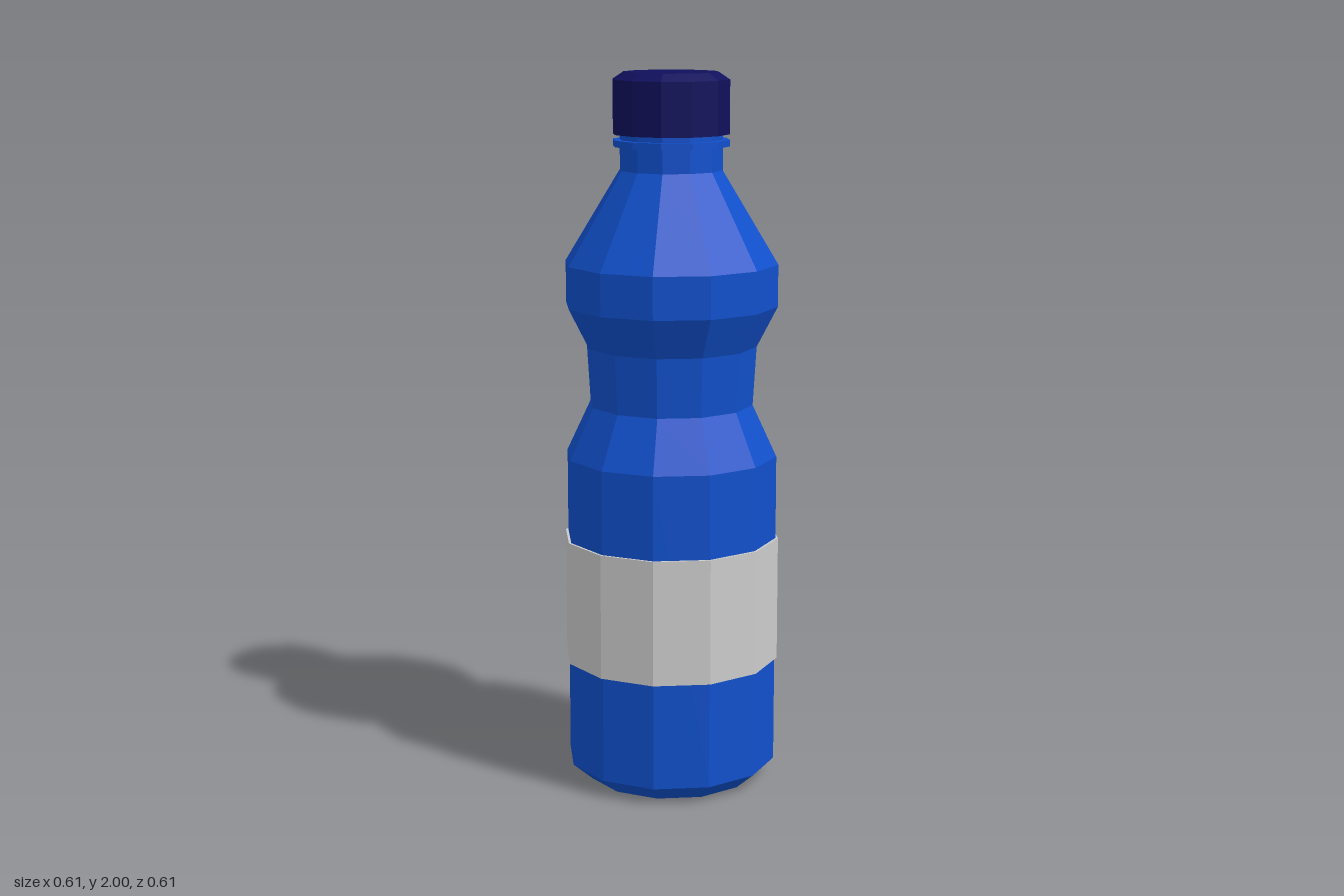
import * as THREE from 'three';

const SIDES = 12;

// Revolve [radius, height] points, listed from bottom to top along the outside
function lathe(name, points, color) {
  const profile = points.map(([r, y]) => new THREE.Vector2(r, y));
  const material = new THREE.MeshStandardMaterial({ color, flatShading: true });
  const mesh = new THREE.Mesh(new THREE.LatheGeometry(profile, SIDES), material);
  mesh.name = name;
  return mesh;
}

export function createModel() {
  const bottle = new THREE.Group();
  bottle.name = 'bottle';
  const blue = 0x1150cc;

  // Body with bevelled base, pinched grip, sloping shoulder and neck
  bottle.add(lathe('body', [
    [0, 0], [0.24, 0], [0.298, 0.05], [0.298, 0.94],
    [0.23, 1.085], [0.24, 1.25], [0.298, 1.363], [0.298, 1.48],
    [0.143, 1.735], [0.143, 1.85], [0, 1.85],
  ], blue));

  // Thin collar under the cap
  bottle.add(lathe('neckRing', [
    [0.14, 1.8], [0.162, 1.8], [0.162, 1.818], [0.14, 1.818],
  ], blue));

  // Wrap-around label band
  bottle.add(lathe('label', [
    [0.296, 0.352], [0.305, 0.352], [0.305, 0.705], [0.296, 0.705],
  ], 0xcccccc));

  // Screw cap with a bevelled top edge
  bottle.add(lathe('cap', [
    [0, 1.833], [0.162, 1.833], [0.162, 1.98], [0.132, 2], [0, 2],
  ], 0x10105c));

  return bottle;
}
